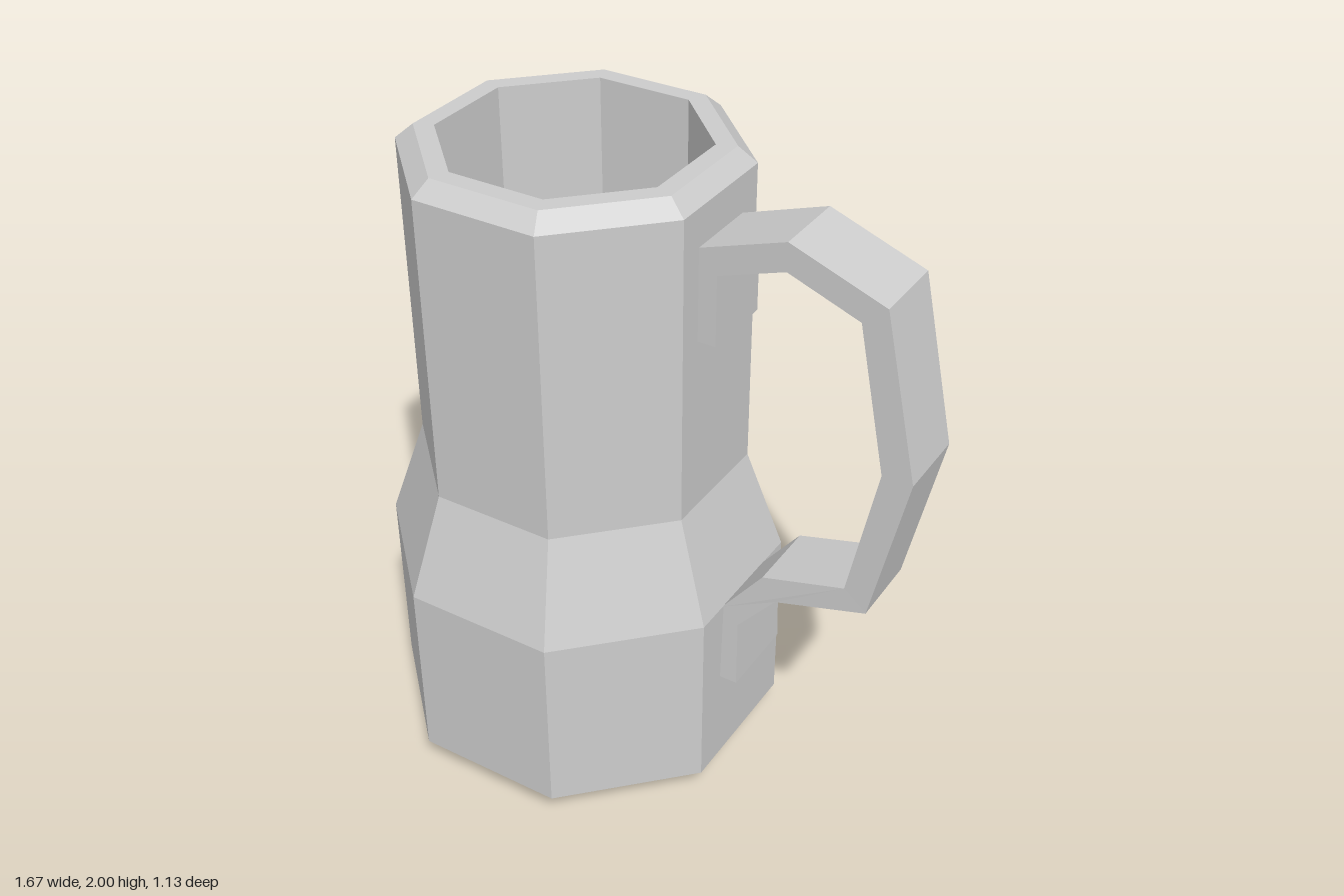
import * as THREE from 'three';

const AXIS_X = -0.275;

// Separate the faces so every facet has its own normal
function faceted(geometry) {
  const g = geometry.index ? geometry.toNonIndexed() : geometry;
  g.computeVertexNormals();
  return g;
}

export function createModel() {
  const group = new THREE.Group();
  group.name = 'tankard';

  const grey = new THREE.MeshStandardMaterial({ color: 0xcccccc });
  grey.name = 'plain grey';

  // Octagonal hollow body: [distance from axis to flat side, height]
  const profile = [
    [0, 0], [0.46, 0], [0.565, 0.1], [0.565, 0.69], [0.46, 1.01],
    [0.46, 1.955], [0.41, 2], [0.355, 2], [0.355, 0.1], [0, 0.1],
  ].map(([a, y]) => new THREE.Vector2(a / Math.cos(Math.PI / 8), y));
  const body = new THREE.Mesh(
    faceted(new THREE.LatheGeometry(profile, 8, Math.PI / 8)), grey);
  body.name = 'body';
  body.position.x = AXIS_X;
  group.add(body);

  // Angular handle with a mounting tab at each end
  const outline = [
    [0.18, 1.84], [0.44, 1.93], [0.725, 1.825], [0.835, 1.33], [0.735, 0.855],
    [0.455, 0.775], [0.34, 0.64], [0.345, 0.42], [0.285, 0.42], [0.285, 0.685],
    [0.41, 0.845], [0.665, 0.915], [0.745, 1.33], [0.655, 1.765],
    [0.44, 1.845], [0.24, 1.775], [0.24, 1.56], [0.18, 1.56],
  ].map(([x, y]) => new THREE.Vector2(x, y));
  const strap = new THREE.ExtrudeGeometry(new THREE.Shape(outline),
    { depth: 2, bevelEnabled: false });
  strap.translate(0, 0, -1);

  // The strap flares gently towards the lower tab
  const p = strap.attributes.position;
  for (let i = 0; i < p.count; i++) {
    const flare = THREE.MathUtils.clamp((0.85 - p.getY(i)) / 0.43, 0, 1);
    p.setZ(i, p.getZ(i) * (0.114 + 0.016 * flare));
  }
  const handle = new THREE.Mesh(faceted(strap), grey);
  handle.name = 'handle';
  group.add(handle);

  return group;
}
